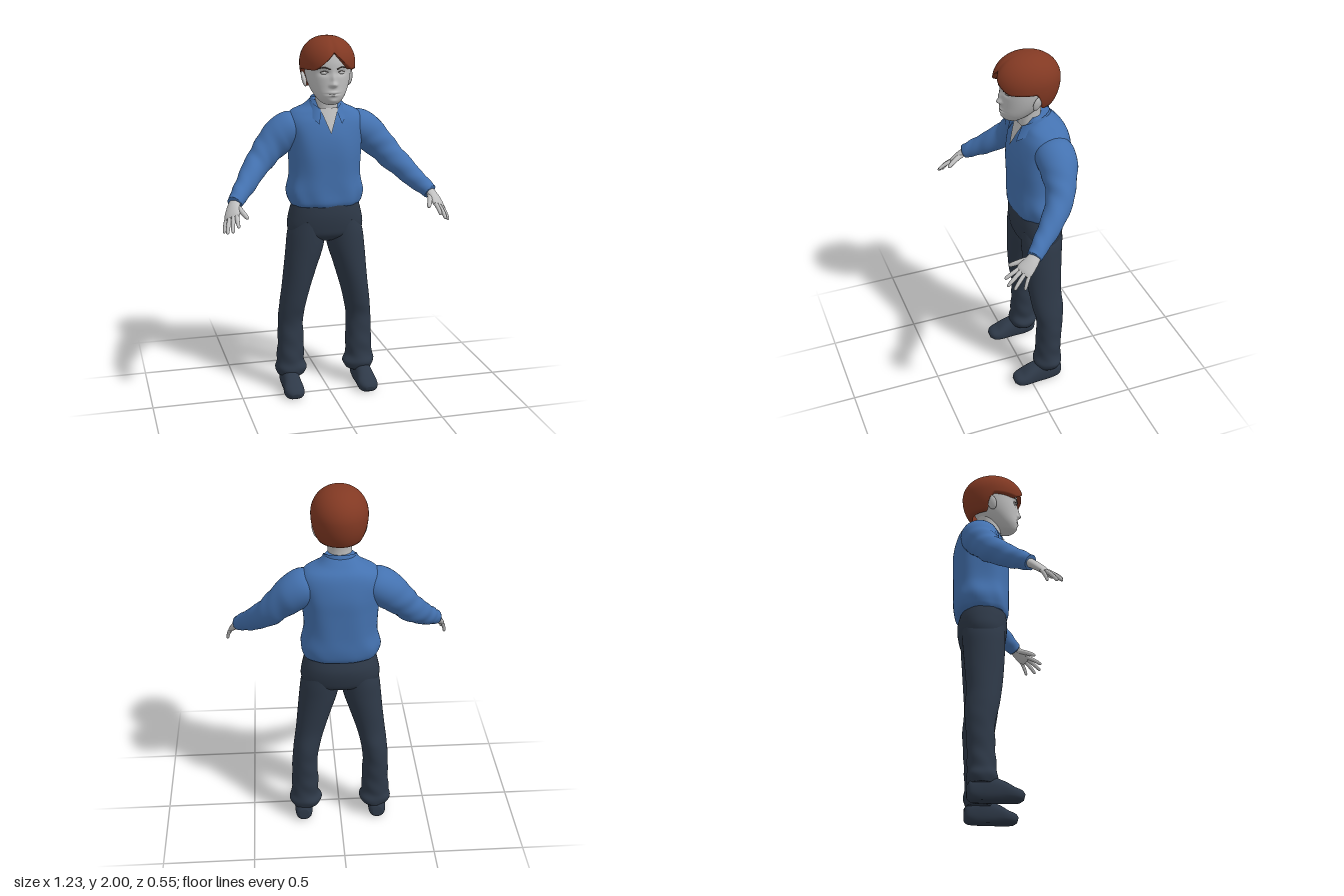
import * as THREE from 'three';

const mat = (name, color) => {
  const m = new THREE.MeshStandardMaterial({ color, side: THREE.DoubleSide });
  m.name = name;
  return m;
};
const V = (x, y, z) => new THREE.Vector3(x, y, z);
const bump = (x, y, cx, cy, sx, sy) => Math.exp(-(((x - cx) / sx) ** 2) - ((y - cy) / sy) ** 2);
const step = THREE.MathUtils.smoothstep;

// Smooth grid surface; f(u, v) gives a point, wrap joins the u ends
function surface(nu, nv, f, wrap = true) {
  const pos = [], idx = [], cols = wrap ? nu : nu + 1;
  for (let j = 0; j <= nv; j++)
    for (let i = 0; i < cols; i++) pos.push(...f(i / nu, j / nv, j).toArray());
  for (let j = 0; j < nv; j++)
    for (let i = 0; i < nu; i++) {
      const a = j * cols + i, b = j * cols + ((i + 1) % cols);
      idx.push(a, b, b + cols, a, b + cols, a + cols);
    }
  const g = new THREE.BufferGeometry();
  g.setAttribute('position', new THREE.Float32BufferAttribute(pos, 3));
  g.setIndex(idx);
  g.computeVertexNormals();
  return g;
}

// Closed loft through rings [x, y, z, depth radius, width radius].
// Without ref the rings lie flat; with ref they turn along the path.
function loft(rings, { n = 32, steps = 6, p = 2, side = 1, ref = null, fold = null, move = null } = {}) {
  const last = rings.length - 1, rows = last * steps;
  const at = (t) => {
    const k = Math.min(Math.floor(t), last - 1), f = t - k;
    const r = (i) => rings[Math.max(0, Math.min(last, i))];
    return r(k).map((b, c) => {
      const a = r(k - 1)[c], d = r(k + 1)[c], e = r(k + 2)[c];
      const v = b + 0.5 * f * (d - a + f * (2 * a - 5 * b + 4 * d - e + f * (3 * (b - d) + e - a)));
      return c === 0 ? v * side : v;
    });
  };
  const axis = ref ? V(ref[0] * side, ref[1], ref[2]) : V(0, 0, 1);
  const pw = (c) => Math.sign(c) * Math.abs(c) ** (2 / p);
  return surface(n, rows + 2, (u, v, j) => {
    const t = Math.max(0, Math.min(rows, j - 1)) / steps;
    const [x, y, z, a, b] = at(t), c = V(x, y, z);
    if (j === 0 || j === rows + 2) return move ? move(c) : c;
    const T = V(0, 1, 0);
    if (ref) {
      const q = at(Math.min(last, t + 0.05)), o = at(Math.max(0, t - 0.05));
      T.set(q[0] - o[0], q[1] - o[1], q[2] - o[2]).normalize();
    }
    const W = T.clone().cross(axis).normalize(), U = W.clone().cross(T);
    const ang = u * Math.PI * 2, k = fold ? 1 + fold(ang, t / last, y) : 1;
    c.addScaledVector(U, a * k * pw(Math.cos(ang))).addScaledVector(W, b * k * pw(Math.sin(ang)));
    return move ? move(c) : c;
  });
}

export function createModel() {
  const model = new THREE.Group();
  const skin = mat('skin grey', 0xc0c0c0), shirt = mat('shirt blue', 0x4472b0);
  const hairMat = mat('hair red brown', 0x823923), cloth = mat('trouser navy', 0x2e3948);
  const dark = mat('brow dark', 0x4a403d);
  const add = (name, geo, m) => {
    const mesh = new THREE.Mesh(geo, m);
    mesh.name = name;
    model.add(mesh);
    return mesh;
  };

  // Head with sculpted face
  add('head', loft([
    [0, 1.645, 0.03, 0.028, 0.03], [0, 1.657, 0.02, 0.055, 0.052], [0, 1.69, 0, 0.09, 0.08],
    [0, 1.74, -0.025, 0.115, 0.105], [0, 1.8, -0.04, 0.13, 0.12], [0, 1.87, -0.05, 0.14, 0.125],
    [0, 1.93, -0.05, 0.12, 0.105], [0, 1.97, -0.05, 0.07, 0.06],
  ], {
    n: 80, steps: 14, move: (c) => {
      const { x, y } = c, ax = Math.abs(x);
      if (c.z > 0) c.z += 0.02 * bump(x, y, 0, 1.755, 0.014, 0.014) + 0.013 * bump(x, y, 0, 1.785, 0.011, 0.028)
        + 0.007 * bump(ax, y, 0.014, 1.751, 0.008, 0.009) - 0.01 * bump(ax, y, 0.045, 1.815, 0.025, 0.015)
        + 0.006 * bump(x, y, 0, 1.713, 0.026, 0.007) + 0.007 * bump(x, y, 0, 1.698, 0.022, 0.007)
        - 0.006 * bump(x, y, 0, 1.705, 0.032, 0.003) + 0.006 * bump(x, y, 0, 1.667, 0.025, 0.012);
      return c;
    },
  }), skin);
  add('neck', loft([[0, 1.52, -0.09, 0.07, 0.07], [0, 1.58, -0.075, 0.065, 0.066],
    [0, 1.66, -0.065, 0.06, 0.062], [0, 1.74, -0.07, 0.065, 0.07]]), skin);

  // Hair cap with a parted fringe, side locks and a longer nape
  add('hair', surface(96, 29, (u, v, j) => {
    const ang = u * Math.PI * 2, a = Math.min(ang, Math.PI * 2 - ang);
    const hem = 1.83 + 0.09 * (1 - Math.min(a / 0.75, 1)) ** 1.3 - 0.1 * step(a, 1.55, 1.95);
    const phi0 = Math.asin((hem - 1.86) / (hem > 1.86 ? 0.14 : 0.2));
    const phi = phi0 + (Math.PI / 2 - phi0) * Math.max(0, j - 1) / 28, s = Math.sin(phi);
    const part = 1 - 0.04 * Math.exp(-((a / 0.13) ** 2));
    const k = Math.max(0, Math.cos(phi)) ** 0.9 * part * (j === 0 ? 0.84 : 1);
    return V(0.147 * k * Math.sin(ang), 1.86 + s * (s > 0 ? 0.14 : 0.2), -0.05 + 0.176 * k * Math.cos(ang));
  }), hairMat);

  // Shirt body with soft folds
  add('shirtBody', loft([
    [0, 1.08, -0.1, 0.125, 0.185], [0, 1.105, -0.11, 0.145, 0.2], [0, 1.16, -0.115, 0.153, 0.21],
    [0, 1.25, -0.115, 0.156, 0.193], [0, 1.37, -0.115, 0.158, 0.2], [0, 1.46, -0.12, 0.153, 0.208],
    [0, 1.54, -0.125, 0.135, 0.215], [0, 1.59, -0.128, 0.113, 0.185], [0, 1.625, -0.12, 0.09, 0.115],
    [0, 1.66, -0.11, 0.07, 0.077],
  ], {
    n: 64, steps: 8, p: 2.4,
    fold: (a, t, y) => 0.016 * (1 - step(y, 1.45, 1.6)) * Math.sin(5 * a + 9 * y) * Math.sin(3 * a + 1)
      + 0.014 * (1 - step(y, 1.12, 1.25)) * Math.sin(9 * a + 14 * y),
  }), shirt);

  // Skin in the open neckline
  const vee = new THREE.PlaneGeometry(2, 1, 8, 10), vp = vee.attributes.position;
  for (let i = 0; i < vp.count; i++) {
    const t = vp.getY(i) + 0.5, x = vp.getX(i) * 0.052 * t;
    vp.setXYZ(i, x, 1.485 + 0.135 * t, 0.043 - 0.043 * t - 3 * x * x);
  }
  vee.computeVertexNormals();
  add('neckOpening', vee, skin);

  // Folded collar, open at the front
  add('collar', surface(48, 8, (u, v) => {
    const a = (u * 2 - 1) * 2.65, q = Math.abs(u * 2 - 1);
    const r = 0.085 + v * (0.018 + 0.028 * q ** 4);
    return V(r * Math.sin(a), 1.68 - 0.07 * q * q - v * (0.05 + 0.022 * q ** 4), -0.085 - r * Math.cos(a));
  }, false), shirt);

  // Hips
  add('trouserHips', loft([
    [0, 0.875, -0.1, 0.06, 0.1], [0, 0.91, -0.102, 0.11, 0.19], [0, 0.96, -0.105, 0.128, 0.213],
    [0, 1.03, -0.106, 0.136, 0.203], [0, 1.1, -0.1, 0.125, 0.183],
  ], { n: 48, p: 2.2 }), cloth);

  for (const side of [1, -1]) {
    const label = side > 0 ? 'left' : 'right';

    // Trouser leg with crumpled cuff
    add(label + 'TrouserLeg', loft([
      [0.2, 0.085, -0.11, 0.07, 0.074], [0.199, 0.125, -0.11, 0.081, 0.091], [0.203, 0.17, -0.112, 0.074, 0.078],
      [0.2, 0.25, -0.115, 0.072, 0.075], [0.199, 0.4, -0.12, 0.075, 0.071], [0.187, 0.5, -0.112, 0.088, 0.074],
      [0.168, 0.6, -0.102, 0.092, 0.08], [0.143, 0.72, -0.1, 0.102, 0.092], [0.12, 0.83, -0.1, 0.11, 0.104],
      [0.107, 0.92, -0.102, 0.115, 0.106], [0.095, 1, -0.103, 0.115, 0.095],
    ], {
      n: 40, steps: 8, side,
      fold: (a, t, y) => 0.04 * (1 - step(y, 0.12, 0.6)) * Math.sin(55 * y + 2 * a) * Math.sin(2 * a + side)
        + 0.015 * Math.sin(3 * a + 11 * y) * (1 - step(y, 0.6, 0.85)),
    }), cloth);

    // Shoe with flat sole
    add(label + 'Shoe', loft([
      [0.212, 0.05, -0.186, 0.03, 0.025], [0.212, 0.05, -0.165, 0.055, 0.046], [0.212, 0.055, -0.1, 0.075, 0.05],
      [0.213, 0.045, -0.02, 0.062, 0.052], [0.214, 0.032, 0.04, 0.042, 0.057], [0.214, 0.027, 0.08, 0.031, 0.047],
      [0.214, 0.022, 0.1, 0.014, 0.022],
    ], { side, ref: [0, 1, 0], p: 2.4, move: (c) => c.setY(Math.max(0, c.y)) }), cloth);

    // Sleeve
    add(label + 'Sleeve', loft([
      [0.14, 1.52, -0.13, 0.07, 0.09], [0.185, 1.5, -0.132, 0.096, 0.105], [0.25, 1.455, -0.13, 0.097, 0.1],
      [0.32, 1.385, -0.112, 0.082, 0.08], [0.385, 1.315, -0.075, 0.072, 0.068], [0.455, 1.24, 0.005, 0.06, 0.056],
      [0.505, 1.19, 0.07, 0.049, 0.046], [0.54, 1.158, 0.115, 0.04, 0.04],
    ], {
      n: 36, steps: 8, side, ref: [0, 1, 0],
      fold: (a, t) => 0.045 * step(t, 0.2, 0.45) * Math.sin(38 * t + 2 * a) * Math.sin(a + 9 * t),
    }), shirt);

    // Hand: palm, four fingers and thumb
    const ref = [0.56, 0.7, 0.45];
    add(label + 'Palm', loft([
      [0.53, 1.17, 0.095, 0.024, 0.028], [0.55, 1.138, 0.135, 0.022, 0.038],
      [0.562, 1.108, 0.172, 0.018, 0.045], [0.567, 1.094, 0.19, 0.011, 0.038],
    ], { side, ref, n: 24 }), skin);
    const digits = {
      Thumb: [[0.53, 1.145, 0.13], [0.49, 1.1, 0.232], 0.014],
      IndexFinger: [[0.539, 1.114, 0.18], [0.545, 1.066, 0.274], 0.0115],
      MiddleFinger: [[0.556, 1.107, 0.185], [0.575, 1.04, 0.27], 0.0115],
      RingFinger: [[0.575, 1.097, 0.178], [0.599, 1.027, 0.242], 0.011],
      LittleFinger: [[0.589, 1.092, 0.16], [0.609, 1.02, 0.19], 0.01],
    };
    for (const [name, [from, to, r]] of Object.entries(digits)) {
      const ring = (f, k) => [...from.map((c, i) => c + (to[i] - c) * f + ref[i] * 0.02 * f * (1 - f)), r * k, r * k];
      add(label + name, loft([ring(0, 1), ring(0.35, 1), ring(0.7, 0.9), ring(0.93, 0.72), ring(1, 0.3)],
        { side, ref, n: 12, steps: 4 }), skin);
    }

    // Eye, brow and ear
    const eye = add(label + 'Eye', new THREE.SphereGeometry(1, 20, 12), skin);
    eye.scale.set(0.02, 0.009, 0.015);
    eye.position.set(0.045 * side, 1.815, 0.066);
    const lid = [V(0.025, 1.818, 0.084), V(0.045, 1.825, 0.079), V(0.067, 1.817, 0.066)];
    const brow = [V(0.016, 1.833, 0.091), V(0.045, 1.844, 0.083), V(0.077, 1.838, 0.063)];
    for (const [name, pts, r] of [['UpperLid', lid, 0.0018], ['Brow', brow, 0.0035]]) {
      const path = new THREE.CatmullRomCurve3(pts.map((q) => V(q.x * side, q.y, q.z)));
      add(label + name, new THREE.TubeGeometry(path, 12, r, 6), dark);
    }
    const ear = add(label + 'Ear', new THREE.SphereGeometry(1, 20, 14), skin);
    ear.scale.set(0.012, 0.043, 0.026);
    ear.position.set(0.125 * side, 1.772, -0.062);
    ear.rotation.set(-0.2, 0.35 * side, -0.2 * side);
  }
  return model;
}
